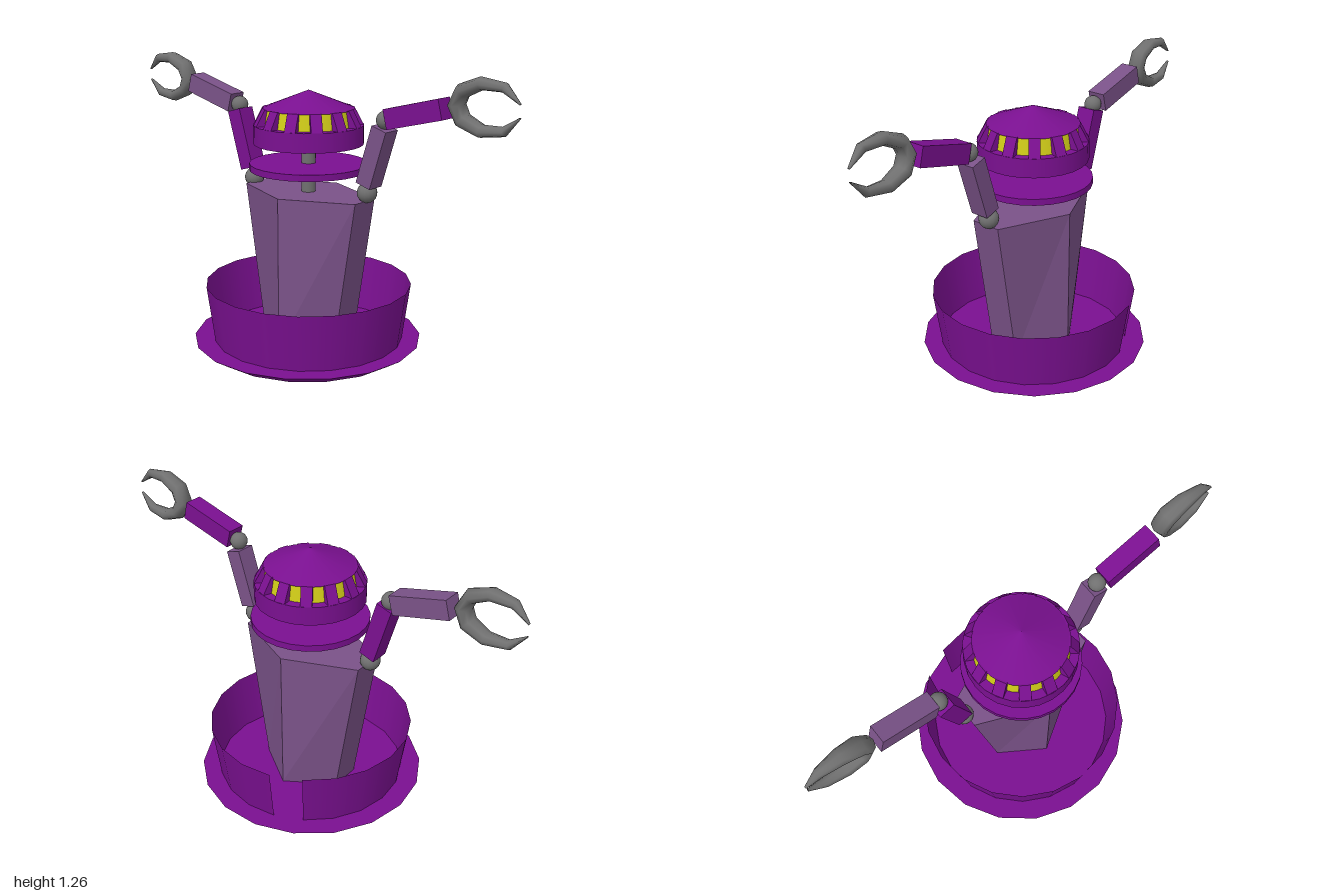
import * as THREE from 'three';

const mat = (color, extra = {}) => new THREE.MeshStandardMaterial({ color, ...extra });
const purple = mat(0x7a1090);
const purpleThin = mat(0x7a1090, { side: THREE.DoubleSide });
const purpleFlat = mat(0x7a1090, { flatShading: true });
const lilac = mat(0x7a5288, { flatShading: true });
const grey = mat(0x707070);
const yellow = mat(0xd0cc18);
const rad = THREE.MathUtils.degToRad;

function add(parent, name, geometry, material, x = 0, y = 0, z = 0) {
  const mesh = new THREE.Mesh(geometry, material);
  mesh.name = name;
  mesh.position.set(x, y, z);
  parent.add(mesh);
  return mesh;
}

// Upright round part between two heights
function round(parent, name, r0, r1, y0, y1, sides, material) {
  return add(parent, name, new THREE.CylinderGeometry(r1, r0, y1 - y0, sides), material, 0, (y0 + y1) / 2, 0);
}

// Six-sided torso, its depth growing from bottom to top
function torsoGeometry() {
  const ring = (y, d) => [[0.067, d], [0.2, 0], [0.067, -d], [-0.067, -d], [-0.2, 0], [-0.067, d]]
    .map(([x, z]) => [x, y, z]);
  const low = ring(0.04, 0.2), high = ring(0.7, 0.305);
  const pos = [];
  const tri = (a, b, c) => pos.push(...a, ...b, ...c);
  for (let i = 0; i < 6; i++) {
    const j = (i + 1) % 6;
    tri(low[i], low[j], high[j]);
    tri(low[i], high[j], high[i]);
    tri([0, 0.7, 0], high[i], high[j]);
    tri([0, 0.04, 0], low[j], low[i]);
  }
  const g = new THREE.BufferGeometry();
  g.setAttribute('position', new THREE.Float32BufferAttribute(pos, 3));
  g.computeVertexNormals();
  return g;
}

// C-shaped pincer: tapered oval sections swept from one tip to the other, opening to +z
function clawGeometry() {
  // forward, up, half thickness, half width
  const half = [[0.3, 0.025, 0.003, 0.006], [0.235, 0.082, 0.02, 0.022], [0.14, 0.09, 0.026, 0.036],
    [0.06, 0.056, 0.031, 0.043]];
  const path = [...half, [0.033, 0, 0.034, 0.042], ...half.map(([u, v, t, w]) => [u, -v, t, w]).reverse()];
  const sides = 8, pos = [], idx = [];
  path.forEach(([u, v, t, w], i) => {
    const a = path[Math.max(i - 1, 0)], b = path[Math.min(i + 1, path.length - 1)];
    const du = b[0] - a[0], dv = b[1] - a[1], len = Math.hypot(du, dv);
    for (let k = 0; k < sides; k++) {
      const ang = (k / sides) * Math.PI * 2, n = Math.cos(ang) * t;
      pos.push(Math.sin(ang) * w, v + (du / len) * n, u - (dv / len) * n);
    }
  });
  for (let i = 0; i < path.length - 1; i++) {
    for (let k = 0; k < sides; k++) {
      const a = i * sides + k, b = i * sides + (k + 1) % sides;
      idx.push(a, a + sides, b, b, a + sides, b + sides);
    }
  }
  const g = new THREE.BufferGeometry();
  g.setAttribute('position', new THREE.Float32BufferAttribute(pos, 3));
  g.setIndex(idx);
  g.computeVertexNormals();
  return g;
}

// Square arm segment between two points in the yz plane
function segment(parent, name, x, [z0, y0], [z1, y1], width, thick, material) {
  const len = Math.hypot(z1 - z0, y1 - y0);
  const mesh = add(parent, name, new THREE.BoxGeometry(width, len, thick), material, x, (y0 + y1) / 2, (z0 + z1) / 2);
  mesh.rotation.x = Math.atan2(z1 - z0, y1 - y0);
}

function makeArm(name, dir, o) {
  const arm = new THREE.Group();
  arm.name = name;
  add(arm, 'shoulderBall', new THREE.SphereGeometry(0.043, 16, 12), grey, o.shoulderX, o.shoulderY, dir * 0.308);
  segment(arm, 'upperArm', o.upperX, [dir * 0.32, o.upperY], [dir * 0.396, 1.017], 0.084, 0.073, o.upper);
  add(arm, 'elbowBall', new THREE.SphereGeometry(0.038, 16, 12), grey, 0.005, o.elbowY, dir * 0.402);
  segment(arm, 'forearm', o.foreX, [dir * 0.43, o.foreY0], [dir * 0.685, o.foreY1], 0.082, 0.083, o.fore);
  const claw = add(arm, 'claw', clawGeometry(), mat(0x707070, { side: THREE.DoubleSide }), 0.008, o.clawY, dir * 0.695);
  if (dir < 0) claw.rotation.y = Math.PI;
  claw.rotation.z = dir * 0.06;
  return arm;
}

function makeHead() {
  const head = new THREE.Group();
  head.name = 'head';
  round(head, 'headBand', 0.237, 0.237, 0.91, 0.992, 26, purple);
  round(head, 'windowGlow', 0.2, 0.188, 0.992, 1.063, 26, yellow);
  add(head, 'headRoof', new THREE.ConeGeometry(0.197, 0.077, 26), purple, 0, 1.1, 0);
  // Sloping pillars between the windows
  const profile = new THREE.Shape([[0.17, 0.99], [0.235, 0.99], [0.196, 1.064], [0.17, 1.064]]
    .map(([x, y]) => new THREE.Vector2(x, y)));
  const pillar = new THREE.ExtrudeGeometry(profile, { depth: 0.048, bevelEnabled: false });
  pillar.translate(0, 0, -0.024);
  const count = 13;
  for (let i = 0; i < count; i++) {
    const mesh = add(head, 'windowPillar', pillar, purpleFlat);
    mesh.rotation.y = ((i + 0.5) / count) * Math.PI * 2 - Math.PI / 2;
  }
  return head;
}

export function createModel() {
  const model = new THREE.Group();
  model.name = 'robot';

  // Flared base plate and open wall with a doorway
  round(model, 'basePlate', 0.44, 0.503, 0, 0.04, 18, purple);
  const wall = new THREE.CylinderGeometry(0.452, 0.418, 0.25, 19, 1, true, rad(124.5), rad(342));
  add(model, 'baseWall', wall, purpleThin, 0, 0.165, 0.005);

  add(model, 'torso', torsoGeometry(), lilac, 0, 0, 0.005);

  // Neck, collar and head
  const upper = new THREE.Group();
  upper.name = 'neckAndHead';
  upper.position.z = 0.006;
  round(upper, 'neck', 0.031, 0.031, 0.7, 0.91, 16, grey);
  round(upper, 'collar', 0.255, 0.255, 0.797, 0.825, 26, purple);
  upper.add(makeHead());
  model.add(upper);

  model.add(makeArm('frontArm', 1, {
    shoulderX: 0.017, shoulderY: 0.735, upperX: 0.01, upperY: 0.773, upper: lilac,
    elbowY: 1.05, foreX: 0, foreY0: 1.06, foreY1: 1.125, fore: purpleFlat, clawY: 1.143,
  }));
  model.add(makeArm('backArm', -1, {
    shoulderX: -0.005, shoulderY: 0.718, upperX: 0, upperY: 0.76, upper: purpleFlat,
    elbowY: 1.037, foreX: 0.008, foreY0: 1.045, foreY1: 1.115, fore: lilac, clawY: 1.128,
  }));
  return model;
}
